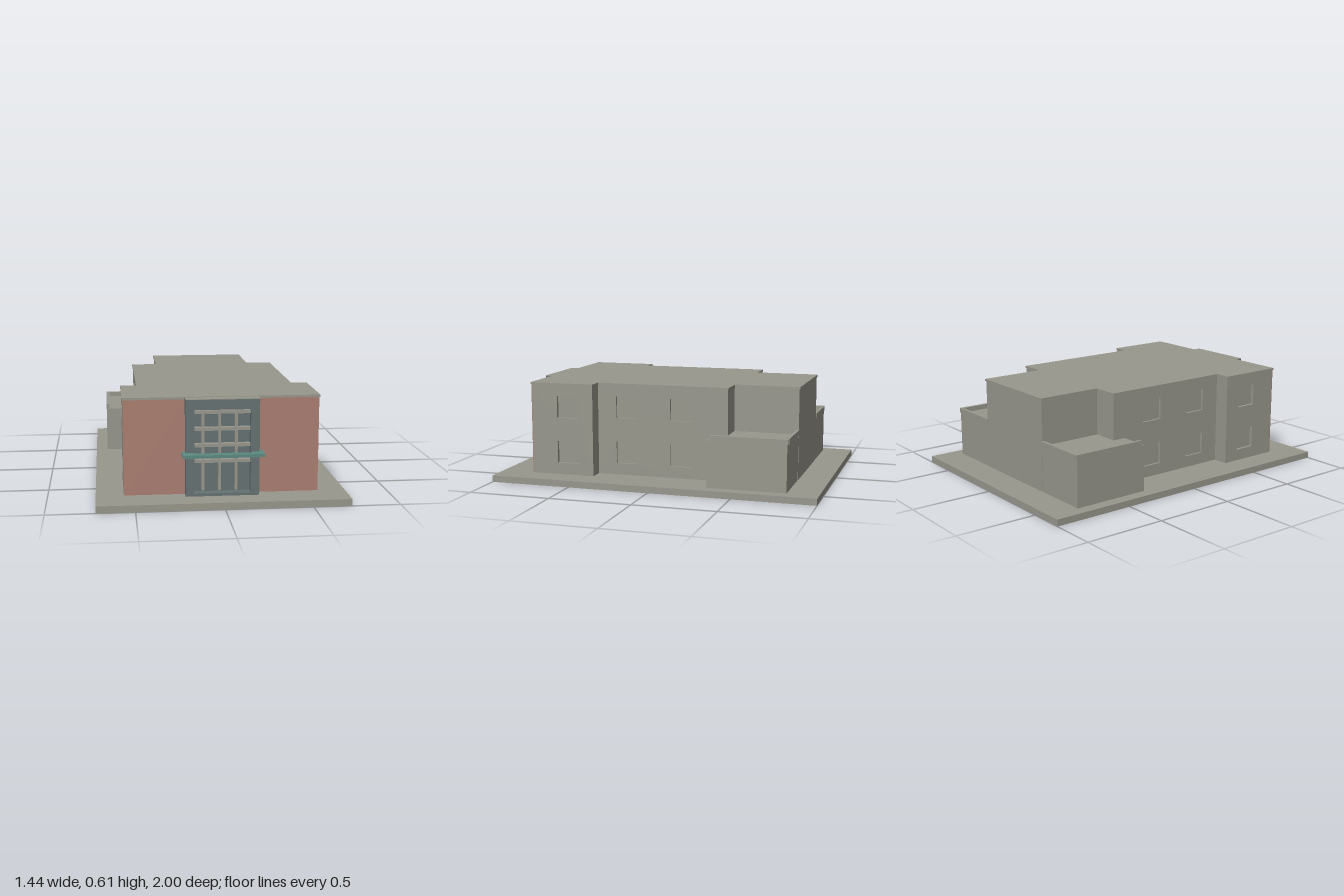
import * as THREE from 'three';

const mat = (name, color) => Object.assign(new THREE.MeshStandardMaterial({ color }), { name });

export function createModel() {
  const group = new THREE.Group();
  const stone = mat('stone grey', 0x98978d);
  const brick = mat('brick red', 0xaa7e71);
  const slate = mat('slate', 0x667172);
  const teal = mat('teal', 0x5c8a82);

  const add = (name, geometry, material) => {
    const mesh = new THREE.Mesh(geometry, material);
    mesh.name = name;
    group.add(mesh);
    return mesh;
  };
  // Box given by its lower and upper limits on each axis
  const box = (name, m, x0, x1, y0, y1, z0, z1) => {
    const mesh = add(name, new THREE.BoxGeometry(x1 - x0, y1 - y0, z1 - z0), m);
    mesh.position.set((x0 + x1) / 2, (y0 + y1) / 2, (z0 + z1) / 2);
    return mesh;
  };
  const polygon = pts => new THREE.Shape(pts.map(p => new THREE.Vector2(...p)));
  const rect = (a0, a1, b0, b1) => [[a0, b0], [a1, b0], [a1, b1], [a0, b1]];
  const extrude = (shape, depth) => new THREE.ExtrudeGeometry(shape, { depth, bevelEnabled: false });
  // Flat slab from a plan outline in x and z
  const slab = (name, m, pts, y0, y1) => {
    const mesh = add(name, extrude(polygon(pts), y1 - y0), m);
    mesh.rotation.x = Math.PI / 2;
    mesh.position.y = y1;
    return mesh;
  };

  const ground = 0.04, eaves = 0.592, wall = 0.02;

  // Ground plate and solid building cores
  box('groundPlate', stone, -0.72, 0.72, 0, ground, -1, 1);
  box('frontWing', stone, -0.54, 0.54, ground, eaves, 0.4, 0.796);
  box('middleWing', stone, -0.45, 0.45, ground, eaves, -0.42, 0.4);
  box('rearWing', stone, -0.305, 0.305, ground, eaves, -0.815, -0.42);

  // Roof with a small overhang
  const half = [[0.565, 0.803], [0.565, 0.397], [0.47, 0.397], [0.47, -0.424], [0.31, -0.424], [0.31, -0.82]];
  const outline = [...half, ...half.slice().reverse().map(([x, z]) => [-x, z])];
  slab('roof', stone, outline, eaves, 0.605);

  // Side walls with recessed windows
  const sideWall = (side, x, z0, z1, windows) => {
    const shape = polygon(rect(z0, z1, ground, eaves));
    for (const z of windows)
      for (const y of [0.178, 0.458])
        shape.holes.push(new THREE.Path(rect(z - 0.067, z + 0.067, y - 0.067, y + 0.067).map(p => new THREE.Vector2(...p))));
    const mesh = add('sideWall', extrude(shape, wall), stone);
    mesh.rotation.y = -Math.PI / 2;
    mesh.position.x = side > 0 ? x : -x + wall;
  };

  for (const s of [-1, 1]) {
    const sided = (name, m, x0, x1, ...rest) => box(name, m, Math.min(s * x0, s * x1), Math.max(s * x0, s * x1), ...rest);
    sideWall(s, 0.56, 0.4, 0.796, [0.565]);
    sideWall(s, 0.465, -0.42, 0.4, [0.215, -0.13]);
    sided('brickFacade', brick, 0.2, 0.56, ground, eaves, 0.796, 0.8);

    // Low rear annex with side and back parapets
    sided('annex', stone, 0.3, 0.648, ground, 0.32, -0.813, -0.337);
    sided('annexSideParapet', stone, 0.628, 0.648, 0.32, 0.35, -0.818, -0.355);
    sided('annexBackParapet', stone, 0.305, 0.628, 0.32, 0.35, -0.82, -0.8);
  }

  // Entrance portal: frame around a recessed panel
  const frame = polygon(rect(-0.21, 0.21, ground, 0.598));
  frame.holes.push(new THREE.Path(rect(-0.16, 0.16, 0.056, 0.54).map(p => new THREE.Vector2(...p))));
  add('portalFrame', extrude(frame, 0.06), slate).position.z = 0.8;
  box('portalPanel', slate, -0.165, 0.165, 0.05, 0.55, 0.797, 0.806);
  box('portalCap', stone, -0.21, 0.21, 0.598, 0.602, 0.8, 0.86);

  // Window grid
  for (const x of [-0.11, -0.015, 0.08])
    box('verticalBar', stone, x - 0.008, x + 0.008, 0.068, 0.54, 0.806, 0.834);
  for (const y of [0.522, 0.425, 0.331, 0.239])
    box('horizontalBar', stone, -0.16, 0.16, y - 0.009, y + 0.009, 0.806, 0.84);

  // Canopy wrapped round the portal
  slab('canopy', teal, [
    [-0.232, 0.82], [-0.21, 0.82], [-0.21, 0.86], [-0.162, 0.86], [-0.162, 0.877], [0.162, 0.877],
    [0.162, 0.86], [0.21, 0.86], [0.21, 0.82], [0.232, 0.82], [0.232, 0.924], [-0.232, 0.924],
  ], 0.277, 0.295);

  return group;
}
